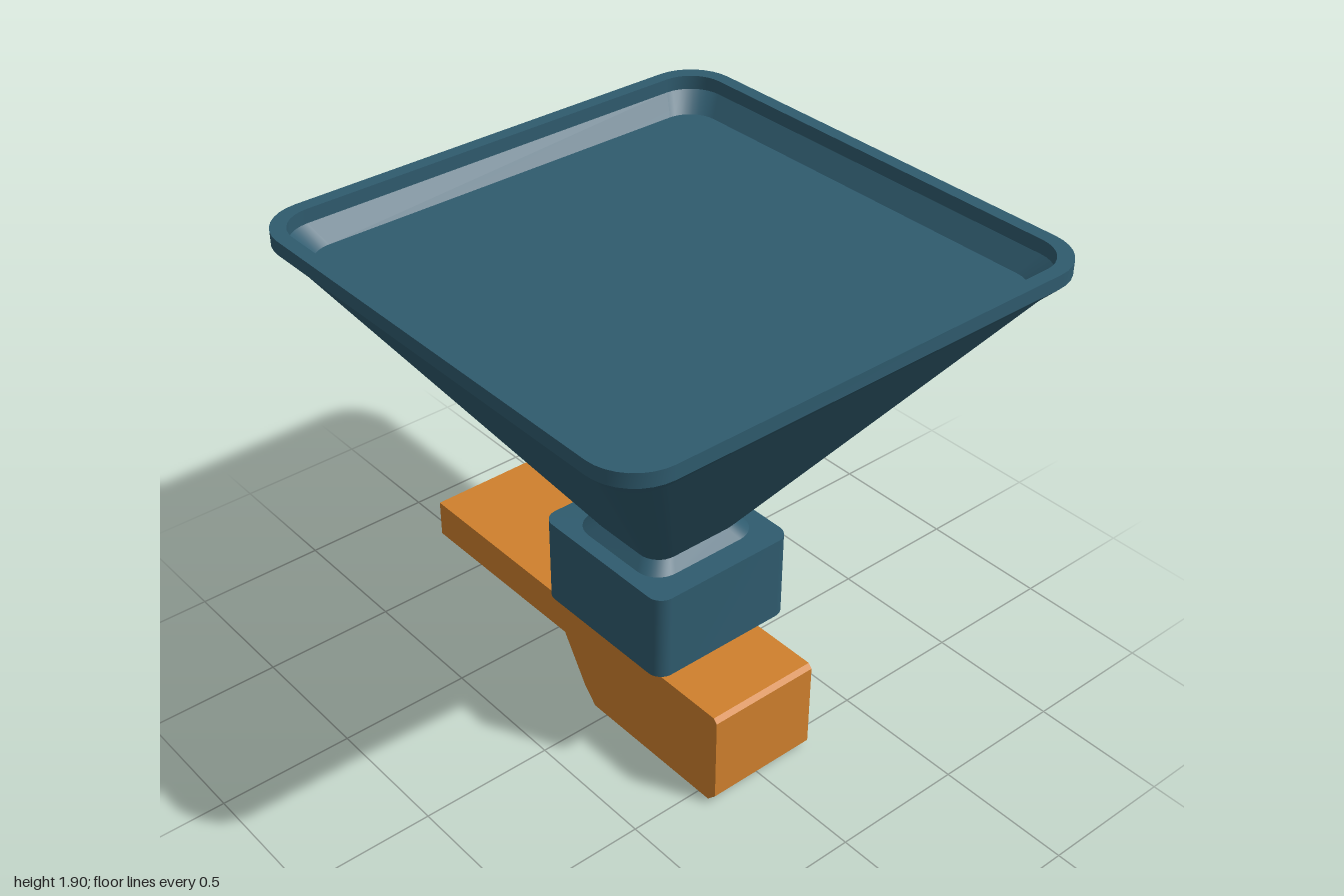
import * as THREE from 'three';

const CX = 0.067; // centre line of the hopper, collar and neck

// One ring of a rounded rectangle: half sizes hx, hz, corner radius r, height y
function ring([hx, hz, r, y], seg = 8) {
  const pts = [];
  for (let c = 0; c < 4; c++) {
    const sx = c === 0 || c === 3 ? 1 : -1;
    const sz = c < 2 ? 1 : -1;
    for (let i = 0; i <= seg; i++) {
      const a = (c + i / seg) * Math.PI / 2;
      pts.push([CX + sx * (hx - r) + r * Math.cos(a), y, sz * (hz - r) + r * Math.sin(a)]);
    }
  }
  return pts;
}

// Joins rings in order with hard edges between bands and closes both ends
function loft(specs) {
  const rings = specs.map((s) => ring(s));
  const n = rings[0].length;
  const pos = [], idx = [];
  for (let k = 0; k + 1 < rings.length; k++) {
    const o = pos.length / 3;
    pos.push(...rings[k].flat(), ...rings[k + 1].flat());
    for (let i = 0; i < n; i++) {
      const j = (i + 1) % n;
      idx.push(o + i, o + n + i, o + j, o + j, o + n + i, o + n + j);
    }
  }
  const cap = (pts, y, up) => {
    const o = pos.length / 3;
    pos.push(...pts.flat(), CX, y, 0);
    for (let i = 0; i < n; i++) {
      const j = (i + 1) % n;
      if (up) idx.push(o + n, o + j, o + i);
      else idx.push(o + n, o + i, o + j);
    }
  };
  cap(rings[0], specs[0][3], false);
  cap(rings[rings.length - 1], specs[specs.length - 1][3], true);
  const g = new THREE.BufferGeometry();
  g.setAttribute('position', new THREE.Float32BufferAttribute(pos, 3));
  g.setIndex(idx);
  g.computeVertexNormals();
  return g;
}

const polygon = (pts) => new THREE.Shape(pts.map(([x, y]) => new THREE.Vector2(x, y)));
const rect = (x0, y0, x1, y1) => [[x0, y0], [x1, y0], [x1, y1], [x0, y1]];

export function createModel() {
  const group = new THREE.Group();
  const blue = new THREE.MeshStandardMaterial({ color: 0x2f5b6e });
  blue.name = 'slate blue';
  const orange = new THREE.MeshStandardMaterial({ color: 0xcf802d });
  orange.name = 'orange';
  const add = (name, geometry, material) => {
    const mesh = new THREE.Mesh(geometry, material);
    mesh.name = name;
    group.add(mesh);
  };

  // Hopper: flared foot, waist, tapered walls, rim, then the shallow tray inside
  add('hopper', loft([
    [0.222, 0.237, 0.09, 0.785],
    [0.182, 0.199, 0.08, 0.825],
    [0.868, 0.872, 0.14, 1.785],
    [0.93, 0.93, 0.17, 1.85],
    [0.93, 0.93, 0.17, 1.9],
    [0.88, 0.88, 0.13, 1.9],
    [0.88, 0.88, 0.13, 1.85],
    [0.822, 0.824, 0.11, 1.785],
  ]), blue);

  // Collar that slips over the neck
  add('collar', loft([
    [0.31, 0.292, 0.055, 0.46],
    [0.31, 0.292, 0.055, 0.788],
  ]), blue);

  // Neck of the base
  add('neck', loft([
    [0.233, 0.217, 0.035, 0.36],
    [0.233, 0.217, 0.035, 0.47],
  ]), orange);

  // Base block with sloped underside
  const width = 0.434;
  const base = new THREE.ExtrudeGeometry(polygon([
    [-0.235, 0.24], [-0.125, 0.062], [-0.068, 0], [0.55, 0], [0.585, 0.037],
    [0.585, 0.368], [0.57, 0.385], [-0.235, 0.385],
  ]), { depth: width, bevelEnabled: false });
  base.translate(0, 0, -width / 2);
  add('base', base, orange);

  // Spout arm with a slot running in from its end
  const section = polygon(rect(-width / 2, 0.24, width / 2, 0.385));
  section.holes.push(polygon(rect(-0.155, 0.277, 0.155, 0.348)));
  const arm = new THREE.ExtrudeGeometry(section, { depth: 0.765, bevelEnabled: false });
  arm.rotateY(Math.PI / 2);
  arm.translate(-1, 0, 0);
  add('spoutArm', arm, orange);

  return group;
}
